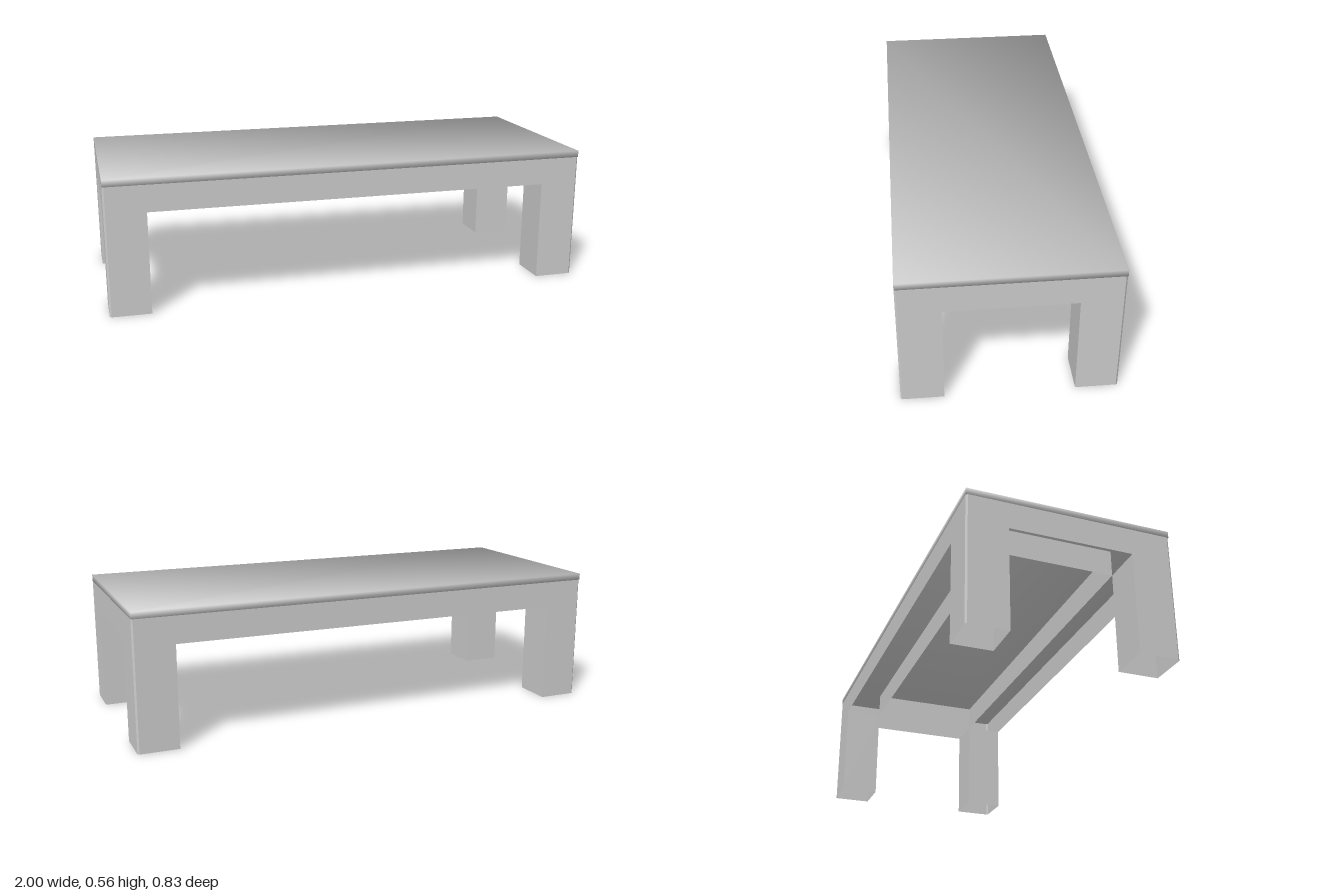
import * as THREE from 'three';

const X = 1, Z = 0.415;            // half size
const LEG_X = 0.835, LEG_Z = 0.25; // inner edges of the legs
const APRON = 0.418, UNDER = 0.528, TOP = 0.555;
const BEVEL = 0.007;

export function createModel() {
  const grey = new THREE.MeshStandardMaterial({ color: 0xcccccc, side: THREE.DoubleSide });
  grey.name = 'light grey';
  const table = new THREE.Group();
  table.name = 'table';

  const add = (name, geometry, x = 0, y = 0, z = 0, turn = 0) => {
    const mesh = new THREE.Mesh(geometry, grey);
    mesh.name = name;
    mesh.position.set(x, y, z);
    mesh.rotation.y = turn;
    table.add(mesh);
    return mesh;
  };

  // Outer sheet: apron and two leg faces in one outline
  const sheet = (half, inner) => new THREE.ShapeGeometry(new THREE.Shape([
    [-half, 0], [-inner, 0], [-inner, APRON], [inner, APRON],
    [inner, 0], [half, 0], [half, UNDER], [-half, UNDER],
  ].map(([x, y]) => new THREE.Vector2(x, y))));
  const wall = (width, height) => new THREE.PlaneGeometry(width, height);

  // Table top with soft shading running over its edges
  const top = new THREE.BoxGeometry(2 * X, TOP - UNDER, 2 * Z);
  const p = top.attributes.position, n = top.attributes.normal;
  for (let i = 0; i < p.count; i++) {
    const v = new THREE.Vector3(Math.sign(p.getX(i)), Math.sign(p.getY(i)), Math.sign(p.getZ(i))).normalize();
    n.setXYZ(i, v.x, v.y, v.z);
  }
  add('tableTop', top, 0, (TOP + UNDER) / 2, 0);

  // Outer sheets
  add('frontSheet', sheet(X - BEVEL, LEG_X), 0, 0, Z);
  add('backSheet', sheet(X - BEVEL, LEG_X), 0, 0, -Z, Math.PI);
  add('leftSheet', sheet(Z - BEVEL, LEG_Z), X, 0, 0, Math.PI / 2);
  add('rightSheet', sheet(Z - BEVEL, LEG_Z), -X, 0, 0, -Math.PI / 2);

  // Inner frame, leaving an open channel behind the apron
  const frameH = UNDER - APRON, frameY = (UNDER + APRON) / 2;
  for (const s of [1, -1]) {
    add('innerFrameLong', wall(2 * LEG_X, frameH), 0, frameY, s * LEG_Z, s > 0 ? Math.PI : 0);
    add('innerFrameShort', wall(2 * LEG_Z, frameH), s * LEG_X, frameY, 0, -s * Math.PI / 2);
  }

  // Hollow legs: bevelled outer corner and two inner walls each
  for (const sx of [1, -1]) for (const sz of [1, -1]) {
    add('cornerBevel', wall(BEVEL * Math.SQRT2, UNDER),
      sx * (X - BEVEL / 2), UNDER / 2, sz * (Z - BEVEL / 2), Math.atan2(sx, sz));
    add('legInnerSide', wall(Z - LEG_Z, APRON),
      sx * LEG_X, APRON / 2, sz * (Z + LEG_Z) / 2, -sx * Math.PI / 2);
    add('legInnerBack', wall(X - LEG_X, APRON),
      sx * (X + LEG_X) / 2, APRON / 2, sz * LEG_Z, sz > 0 ? Math.PI : 0);
  }
  return table;
}
